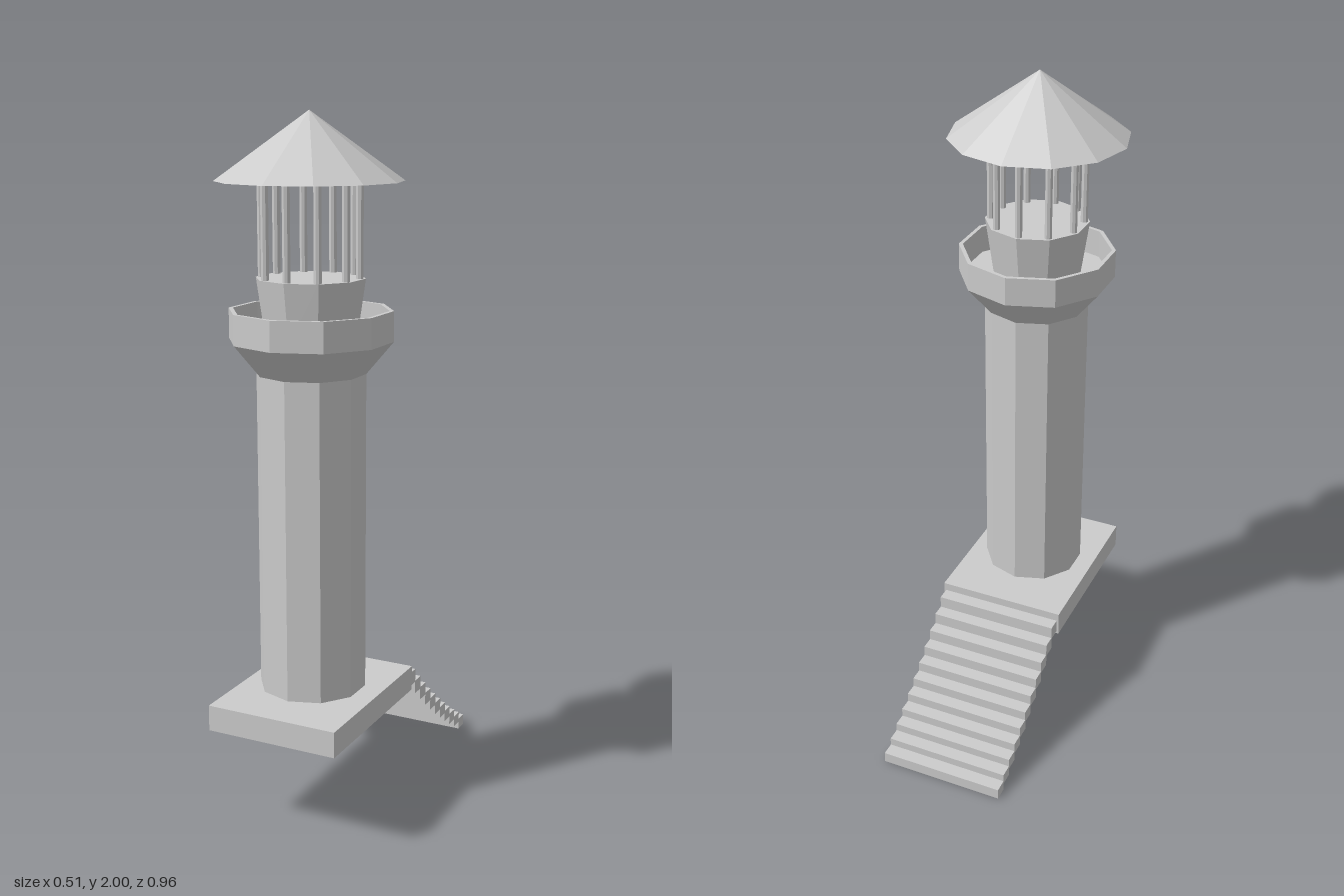
import * as THREE from 'three';

const SIDES = 10;

export function createModel() {
  const model = new THREE.Group();
  const material = new THREE.MeshStandardMaterial({ color: 0xcccccc, flatShading: true });

  const add = (parent, name, geometry, x, y, z) => {
    const mesh = new THREE.Mesh(geometry, material);
    mesh.name = name;
    mesh.position.set(x, y, z);
    parent.add(mesh);
    return mesh;
  };

  // Square platform under the tower
  add(model, 'platform', new THREE.BoxGeometry(0.395, 0.075, 0.516), 0.009, 0.338, 0.222);

  // Stairs climbing to the platform from behind, slightly steeper near the top
  const stairs = new THREE.Group();
  stairs.name = 'stairs';
  model.add(stairs);
  for (let i = 0; i < 11; i++) {
    const top = 0.036 + 0.0239 * i + 0.00075 * i * i;
    const height = Math.min(top, 0.034 + 0.0008 * i);
    add(stairs, 'step', new THREE.BoxGeometry(0.382, height, 0.042),
      0.009, top - height / 2, -0.461 + 0.0405 * i);
  }

  // Ten-sided tower
  const tower = new THREE.Group();
  tower.name = 'tower';
  tower.position.set(0.008, 0, 0.225);
  model.add(tower);
  add(tower, 'shaft', new THREE.CylinderGeometry(0.153, 0.153, 0.913, SIDES), 0, 0.8435, 0);

  // Flared gallery with a thin parapet and a floor inside it
  const profile = [
    [0, 1.3], [0.153, 1.3], [0.228, 1.39], [0.228, 1.474],
    [0.216, 1.474], [0.216, 1.393], [0, 1.393],
  ].map(([r, y]) => new THREE.Vector2(r, y));
  add(tower, 'gallery', new THREE.LatheGeometry(profile, SIDES), 0, 0, 0);

  // Lantern base, widening upwards
  add(tower, 'lanternBase', new THREE.CylinderGeometry(0.151, 0.127, 0.167, SIDES), 0, 1.4765, 0);

  // Slim posts at the corners carry the roof
  for (let i = 0; i < SIDES; i++) {
    const a = (i / SIDES) * Math.PI * 2;
    add(tower, 'post', new THREE.CylinderGeometry(0.011, 0.011, 0.257, 8),
      0.134 * Math.sin(a), 1.6875, 0.134 * Math.cos(a));
  }

  // Twelve-sided conical roof with an eave ring beneath
  const roof = new THREE.Group();
  roof.name = 'roof';
  roof.position.set(0, 0, 0.212);
  model.add(roof);
  add(roof, 'roofCone', new THREE.ConeGeometry(0.257, 0.184, 12, 1, true), 0, 1.908, 0);
  const eave = add(roof, 'eave', new THREE.RingGeometry(0.145, 0.257, 12), 0, 1.816, 0);
  eave.rotation.x = Math.PI / 2;

  return model;
}
